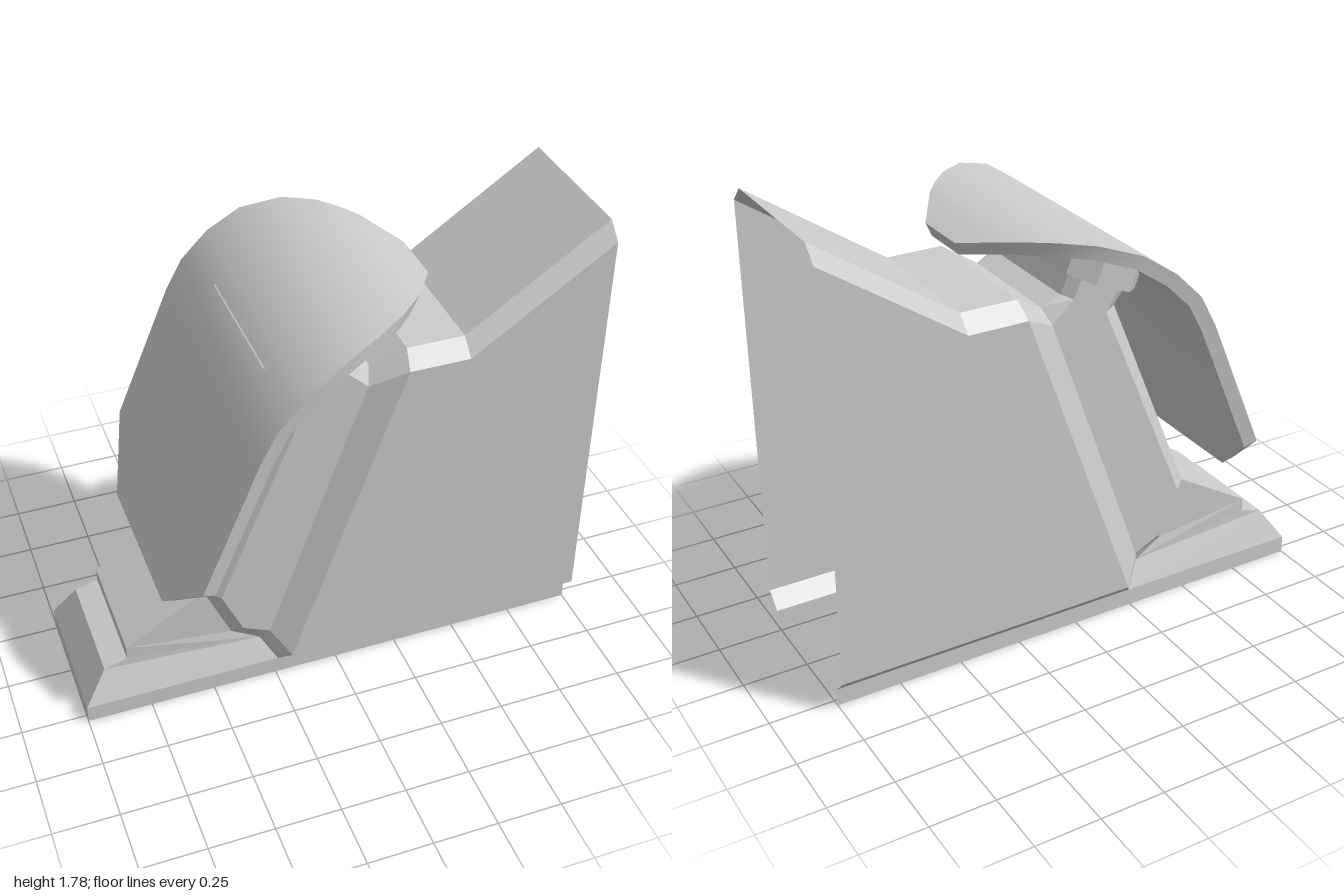
import * as THREE from 'three';
import { toCreasedNormals } from 'three/addons/utils/BufferGeometryUtils.js';

const flat = () => new THREE.MeshStandardMaterial({ color: 0xcccccc, flatShading: true, side: THREE.DoubleSide });

function meshFrom(name, positions, material) {
  const g = new THREE.BufferGeometry();
  g.setAttribute('position', new THREE.Float32BufferAttribute(positions, 3));
  g.computeVertexNormals();
  const m = new THREE.Mesh(g, material);
  m.name = name;
  return m;
}

// Collects panels: mirrored side panels and strips that cross the middle
function panels() {
  const out = [];
  const mir = ([x, y, z]) => [x, y, -z];
  return {
    out,
    // polygon on the +z side, mirrored to -z
    side(...pts) {
      const flatPts = pts.map(p => new THREE.Vector2(p[0], p[1]));
      const reversed = THREE.ShapeUtils.isClockWise(flatPts);
      if (reversed) { flatPts.reverse(); pts.reverse(); }
      for (const [a, b, c] of THREE.ShapeUtils.triangulateShape(flatPts, [])) {
        out.push(...pts[a], ...pts[b], ...pts[c]);
        out.push(...mir(pts[a]), ...mir(pts[c]), ...mir(pts[b]));
      }
    },
    // strip from +z to -z along a path
    span(...path) {
      for (let i = 0; i + 1 < path.length; i++) {
        const a = path[i], b = path[i + 1];
        out.push(...a, ...b, ...mir(b), ...a, ...mir(b), ...mir(a));
      }
    },
  };
}

export function createModel() {
  const group = new THREE.Group();

  // Body: rim (edge of front and top) and side (edge of flank), with a chamfer between
  const rim = [
    [-0.24, 0.07, 0.28], [-0.30, 0.17, 0.24], [-0.41, 0.23, 0.23], [-0.51, 0.465, 0.23],
    [-0.175, 1.285, 0.23], [-0.23, 1.36, 0.23], [0.01, 1.455, 0.23], [0.05, 1.375, 0.23],
    [0.13, 1.345, 0.23], [0.25, 1.42, 0.28], [0.47, 1.42, 0.28], [1, 1.78, 0.28],
  ];
  const flank = [
    [-0.20, 0.13, 0.34], [-0.27, 0.23, 0.28], [-0.375, 0.28, 0.28], [-0.455, 0.46, 0.28],
    [-0.11, 1.29, 0.28], [-0.165, 1.385, 0.28], [-0.01, 1.445, 0.28], [0.025, 1.37, 0.28],
    [0.11, 1.29, 0.28], [0.24, 1.36, 0.34], [0.47, 1.36, 0.34], [1, 1.72, 0.34],
  ];
  const body = panels();
  for (let i = 0; i + 1 < rim.length; i++) body.side(rim[i], rim[i + 1], flank[i + 1], flank[i]);
  body.span(...rim.slice(3));
  body.side(...flank.slice(1, 9));                                   // front flank
  body.side(flank[0], flank[1], flank[8], flank[9]);                 // crease
  body.side(flank[0], flank[9], flank[10], flank[11], [1, 0.13, 0.34]); // rear flank
  body.side(rim[0], flank[0], [1, 0.13, 0.34], [1, 0.07, 0.28]);     // lower chamfer
  body.side([-0.24, 0, 0.28], rim[0], [1, 0.07, 0.28], [1, 0, 0.28]); // skirt
  group.add(meshFrom('body', body.out, flat()));

  // Stepped toe in front of the body
  const toe = [[-1, 0, 0.28], [-1, 0.07, 0.28], [-0.91, 0.2, 0.23], [-0.82, 0.225, 0.23], [-0.82, 0.28, 0.23]];
  const foot = panels();
  foot.span(...toe, rim[3]);
  foot.side(toe[0], toe[1], rim[0], [-0.24, 0, 0.28]);
  foot.side(toe[1], toe[2], rim[1], rim[0]);
  foot.side(toe[2], toe[3], toe[4], rim[3], rim[2], rim[1]);
  group.add(meshFrom('toe', foot.out, flat()));

  // Octagonal mount between neck and curved plate
  const w = 0.154, d = 0.355, c = 0.08;
  const oct = new THREE.Shape([
    [w, d - c], [w - c, d], [c - w, d], [-w, d - c],
    [-w, c - d], [c - w, -d], [w - c, -d], [w, c - d],
  ].map(p => new THREE.Vector2(...p)));
  const mountGeo = new THREE.ExtrudeGeometry(oct, { depth: 0.11, bevelEnabled: false });
  mountGeo.rotateX(-Math.PI / 2).rotateZ(0.383);
  const mount = new THREE.Mesh(mountGeo, flat());
  mount.name = 'mount';
  mount.position.set(-0.088, 1.412, 0);
  group.add(mount);

  // Curved plate: outer profile x, y and half width
  const profile = [
    [-0.69, 0.56, 0.32], [-0.6, 0.77, 0.56], [-0.38, 1.29, 0.56], [-0.315, 1.41, 0.56],
    [-0.21, 1.515, 0.56], [-0.085, 1.6, 0.54], [0.06, 1.645, 0.485], [0.17, 1.652, 0.41],
    [0.24, 1.645, 0.34], [0.29, 1.635, 0.28], [0.395, 1.595, 0.11],
  ];
  const loops = profile.map(([x, y, h], i) => {
    const a = profile[Math.max(i - 1, 0)], b = profile[Math.min(i + 1, profile.length - 1)];
    const dx = b[0] - a[0], dy = b[1] - a[1], k = 0.052 / Math.hypot(dx, dy);
    const ix = x + dy * k, iy = y - dx * k;
    return [[x, y, h], [x, y, -h], [ix, iy, 0.01 - h], [ix, iy, h - 0.01]];
  });
  const tri = [];
  const quad = (p, q, r, s) => tri.push(...p, ...q, ...r, ...p, ...r, ...s);
  for (let i = 0; i + 1 < loops.length; i++) {
    for (let j = 0; j < 4; j++) {
      const n = (j + 1) % 4;
      quad(loops[i][j], loops[i + 1][j], loops[i + 1][n], loops[i][n]);
    }
  }
  quad(...loops[0]);
  quad(...loops[loops.length - 1].slice().reverse());
  const plate = meshFrom('curvedPlate', tri, new THREE.MeshStandardMaterial({ color: 0xcccccc, side: THREE.DoubleSide }));
  plate.geometry = toCreasedNormals(plate.geometry, 0.6);
  group.add(plate);

  return group;
}
